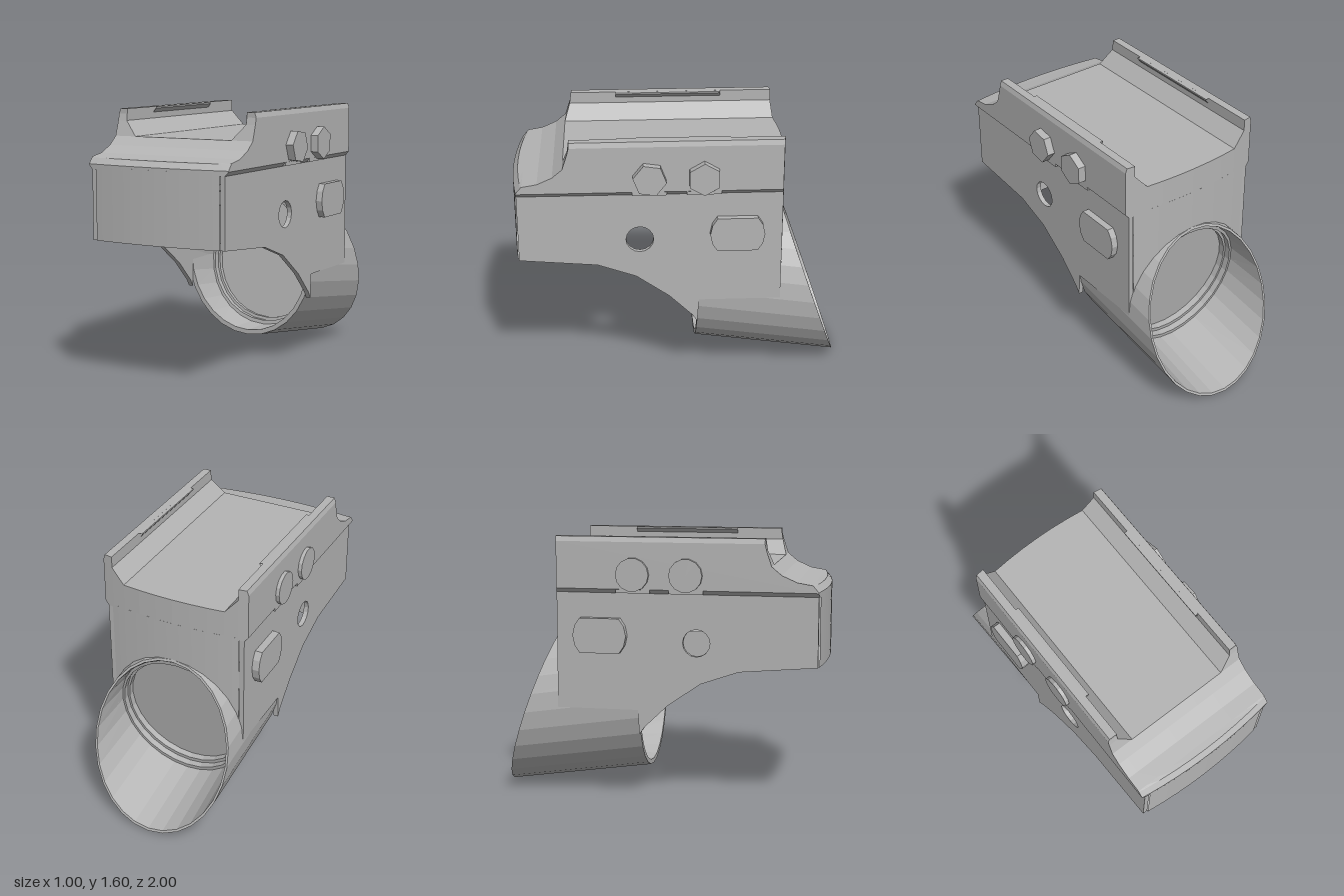
import * as THREE from 'three';

const HALF = 0.4425; // half width of the housing
const bulge = (x, amount) => amount * (1 - (x / 0.465) ** 2);

// Joins equal-length closed loops of points into a faceted surface
function loft(loops, capped = false) {
  const p = [];
  const tri = (a, b, c) => p.push(...a, ...b, ...c);
  for (let i = 0; i < loops.length - 1; i++) {
    const A = loops[i], B = loops[i + 1], n = A.length;
    for (let j = 0; j < n; j++) {
      const k = (j + 1) % n;
      tri(A[j], B[j], B[k]);
      tri(A[j], B[k], A[k]);
    }
  }
  if (capped) {
    [loops[0], loops[loops.length - 1]].forEach((L, end) => {
      const outline = L.map((v) => new THREE.Vector2(v[2], v[1]));
      const ccw = !THREE.ShapeUtils.isClockWise(outline);
      for (const [a, b, c] of THREE.ShapeUtils.triangulateShape(outline, [])) {
        const q = L[a], r = L[b], s = L[c];
        const positive = (r[2] - q[2]) * (s[1] - q[1]) - (r[1] - q[1]) * (s[2] - q[2]) > 0;
        // counter-clockwise in (z, y) faces +x's opposite side
        const facesMinusX = positive;
        if (facesMinusX === (end === 0)) tri(q, r, s); else tri(q, s, r);
      }
      return ccw;
    });
  }
  // Drop collapsed triangles and turn the side walls outward
  const out = [];
  const a = new THREE.Vector3(), b = new THREE.Vector3(), c = new THREE.Vector3(), n = new THREE.Vector3();
  const sideCount = (loops.length - 1) * loops[0].length * 18;
  const centre = new THREE.Vector3(...loops[0][0]);
  let volume = 0;
  for (let i = 0; i < sideCount; i += 9) {
    a.fromArray(p, i).sub(centre); b.fromArray(p, i + 3).sub(centre); c.fromArray(p, i + 6).sub(centre);
    volume += a.dot(n.crossVectors(b, c));
  }
  for (let i = 0; i < p.length; i += 9) {
    a.fromArray(p, i); b.fromArray(p, i + 3); c.fromArray(p, i + 6);
    if (n.crossVectors(b.clone().sub(a), c.clone().sub(a)).length() < 1e-9) continue;
    const flip = i < sideCount && volume < 0;
    for (const v of flip ? [a, c, b] : [a, b, c]) out.push(v.x, v.y, v.z);
  }
  const g = new THREE.BufferGeometry();
  g.setAttribute('position', new THREE.Float32BufferAttribute(out, 3));
  g.computeVertexNormals();
  return g;
}

// Extrudes a (z, y) outline along x, from x0 to x1
function sidePlate(shape, x0, x1) {
  const g = new THREE.ExtrudeGeometry(shape, { depth: x1 - x0, bevelEnabled: false, curveSegments: 8 });
  g.rotateY(-Math.PI / 2); // shape x becomes z, depth becomes -x
  g.translate(x1, 0, 0);
  return g;
}

const shapeOf = (pts) => new THREE.Shape(pts.map(([z, y]) => new THREE.Vector2(z, y)));

export function createModel() {
  const grey = new THREE.MeshStandardMaterial({ color: 0xb4b4b4, flatShading: true, side: THREE.DoubleSide });
  grey.name = 'plain grey';
  const model = new THREE.Group();
  model.name = 'sightHousing';
  model.position.x = -0.0125;
  const add = (name, geometry) => {
    const m = new THREE.Mesh(geometry, grey);
    m.name = name;
    model.add(m);
    return m;
  };

  // Upper rail: cross-sections across x, with a scooped front end
  const scoop = [[0.65, 1.6], [0.65, 1.57], [0.66, 1.53], [0.69, 1.44], [0.75, 1.39], [0.84, 1.35], [0.93, 1.335]];
  const half = [[0.11, 1.44], [0.22, 1.44], [0.325, 1.44], [0.405, 1.53], [0.405, 1.6],
    [HALF, 1.6], [0.455, 1.6], [0.465, 1.57]];
  const columns = [...half.map(([x, h]) => [-x, h]).reverse(), [0, 1.44], ...half];
  add('upperRail', loft(columns.map(([x, h]) => {
    const back = -0.6 - bulge(x, 0.04), front = 0.965 + bulge(x, 0.035);
    const bottom = 1.265 + Math.max(0, Math.abs(x) - HALF) * 1.1;
    const first = scoop.find((q) => q[1] <= h);
    const top = scoop.map((q) => (q[1] > h ? [first[0], h] : q));
    return [[back, bottom], [back, h], ...top, [front - 0.03, 1.33], [front, 1.295], [front, bottom]]
      .map(([z, y]) => [x, y, z]);
  }), true));

  // Overhanging lips along the middle of each rail
  for (const s of [-1, 1]) {
    add('railLip', loft([-0.29, 0.37].map((z) =>
      [[0.41, 1.6], [0.385, 1.599], [0.385, 1.59], [0.41, 1.56]].map(([x, y]) => [s * x, y, z]))));
  }

  // Core: front block, cavity ceiling and arched rear wall
  const inner = 0.4125;
  const core = [];
  for (let i = 0; i <= 20; i++) {
    const x = -inner + (2 * inner * i) / 20;
    const arch = 0.547 + 0.475 * Math.sqrt(1 - (x / 0.434) ** 2);
    const back = -0.6 - bulge(x, 0.04), front = 0.965 + bulge(x, 0.035);
    core.push([[front, 1.28], [front, 0.85], [0.5, 0.81], [0.5, 1.04], [-0.5, 1.04],
      [-0.5, arch], [back, arch], [back, 1.28]].map(([z, y]) => [x, y, z]));
  }
  add('bodyCore', loft(core));

  // Side walls with the round cross hole
  const wall = shapeOf([[0.965, 1.28], [0.965, 0.85], [0.5, 0.81], [0.27, 0.73], [0.07, 0.59], [-0.07, 0.455],
    [-0.1, 0.41], [-0.11, 0.56], [-0.604, 0.56], [-0.604, 1.28]]);
  wall.holes.push(new THREE.Path().absarc(0.245, 0.975, 0.082, 0, Math.PI * 2, true));
  add('sideWall', sidePlate(wall, inner, HALF));
  add('sideWall', sidePlate(wall, -HALF, -inner));

  // Tilted oval tube: vertical front end, slanted rear end, stepped bore closed by a disc
  const frontCut = (d) => (0.1 - 0.143 * d) / 0.99;
  const rearCut = (d) => (1 - 0.489 * d) / 0.94;
  const ring = (kx, ky, where) => Array.from({ length: 28 }, (_, i) => {
    const a = (i / 28) * Math.PI * 2 - Math.PI / 2;
    const d = 0.627 + 0.484 * ky * Math.sin(a);
    const s = typeof where === 'function' ? where(d) : where;
    return [HALF * kx * Math.cos(a), 0.99 * d - 0.143 * s, -0.143 * d - 0.99 * s];
  });
  add('tube', loft([
    ring(0, 0, 0.35), ring(0.87, 0.79, 0.35), ring(0.87, 0.79, 0.32), ring(0.9, 0.83, 0.32), ring(0.9, 0.83, 0.28),
    ring(0.93, 0.88, 0.28), ring(0.94, 0.94, frontCut), ring(1, 1, frontCut),
    ring(1, 1, rearCut), ring(0.97, 0.97, rearCut),
    ring(0.93, 0.9, 0.46), ring(0.9, 0.85, 0.46), ring(0.9, 0.85, 0.42), ring(0.87, 0.8, 0.42),
    ring(0.87, 0.8, 0.38), ring(0, 0, 0.38),
  ]));

  // Bolts: hexagonal on one side, round on the other, each over a small pad
  [0.185, -0.135].forEach((z, i) => {
    const bolt = (name, sides, x0, x1, turn) => {
      const g = new THREE.CylinderGeometry(0.1, 0.1, x1 - x0, sides);
      g.rotateY(turn).rotateZ(Math.PI / 2).translate((x0 + x1) / 2, 1.378, z);
      add(name, g);
    };
    bolt('hexBolt', 6, 0.44, 0.5125, i === 0 ? 0.15 : Math.PI / 6);
    bolt('roundBolt', 14, -0.4875, -0.44, 0);
    for (const s of [-1, 1]) {
      add('boltPad', new THREE.BoxGeometry(0.04, 0.06, 0.205).translate(s * 0.4445, 1.297, z));
    }
  });

  // Flat-topped oval bosses on both walls
  const boss = shapeOf([[-0.215, 0.905], [-0.185, 0.95], [-0.172, 1.01], [-0.185, 1.07], [-0.215, 1.115],
    [-0.455, 1.115], [-0.485, 1.07], [-0.498, 1.01], [-0.485, 0.95], [-0.455, 0.905]]);
  add('sideBoss', sidePlate(boss, 0.435, 0.4825));
  add('sideBoss', sidePlate(boss, -0.4875, -0.435));

  return model;
}
